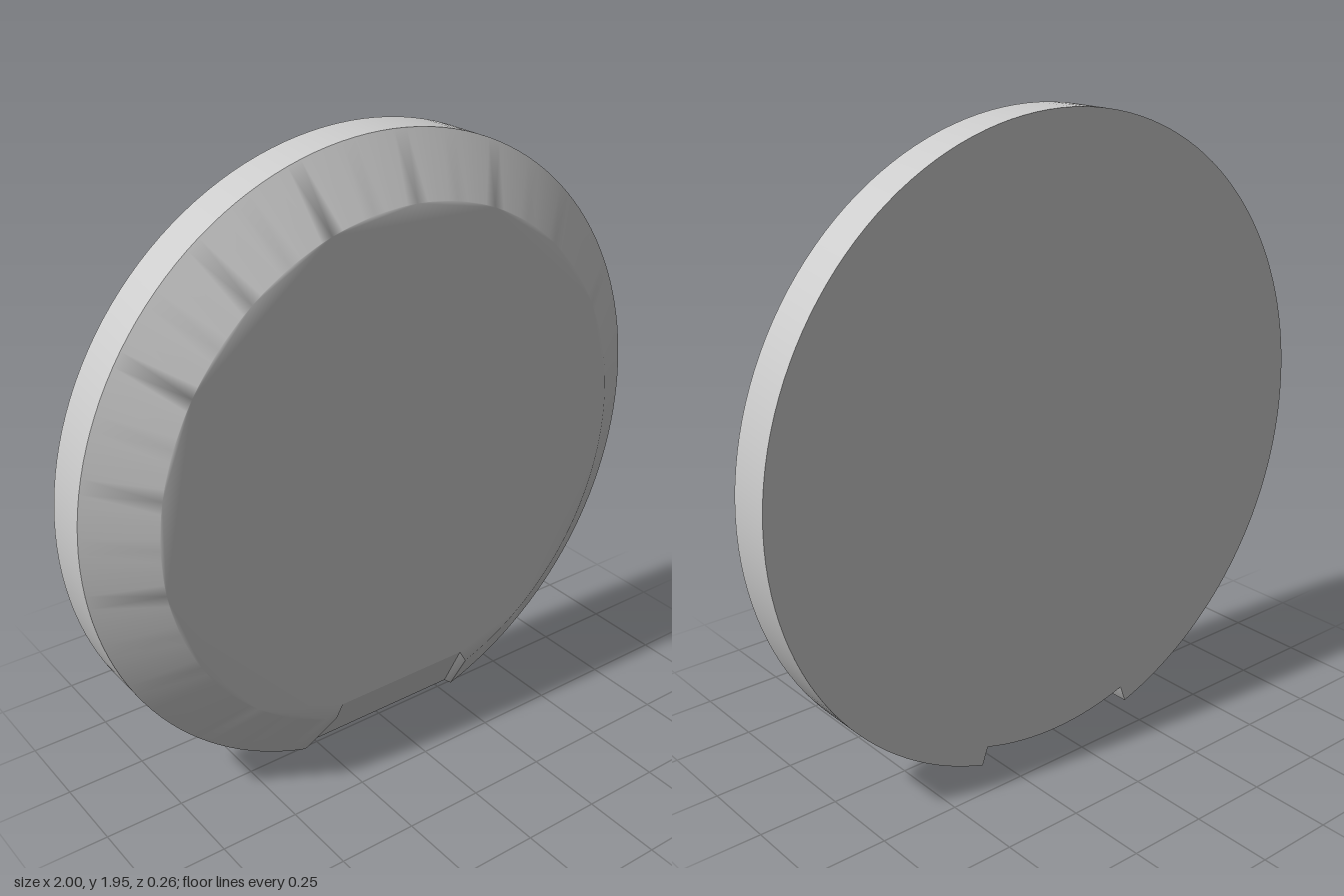
import * as THREE from 'three';

const CY = 0.955;              // height of the disc centre
const BACK = -0.13, RIM = 0.01, FRONT = 0.13;
const SEG = 128, NOTCH_SEG = 16;
const V = (x, y, z) => new THREE.Vector3(x, y, z);

// Points on a circle about the disc centre, angle measured from straight down
function arc(r, a, b, z, n) {
  return Array.from({ length: n + 1 }, (_, i) => {
    const t = a + (b - a) * i / n;
    return V(r * Math.sin(t), CY - r * Math.cos(t), z);
  });
}

// Main arc of the outline, leaving a gap of half-width x at the bottom
function openArc(r, x, z) {
  const a = Math.asin(x / r);
  return arc(r, a, 2 * Math.PI - a, z, SEG);
}

// Evenly spaced points from -x to x
function line(x, y, z) {
  return Array.from({ length: NOTCH_SEG + 1 }, (_, i) => V(-x + 2 * x * i / NOTCH_SEG, y, z));
}

// Triangles joining two rows of equal length
function stripIndex(n, a = 0, b = n) {
  const index = [];
  for (let i = 0; i < n - 1; i++) index.push(a + i, a + i + 1, b + i + 1, a + i, b + i + 1, b + i);
  return index;
}

function geometry(points, index) {
  const g = new THREE.BufferGeometry().setFromPoints(points);
  g.setIndex(index);
  g.computeVertexNormals();
  return g;
}

const strip = (a, b) => geometry([...a, ...b], stripIndex(a.length));
const capIndex = (loop) =>
  THREE.ShapeUtils.triangulateShape(loop.map((p) => new THREE.Vector2(p.x, p.y)), []).flat();

export function createModel() {
  const group = new THREE.Group();
  const material = new THREE.MeshStandardMaterial({ color: 0xcccccc });
  const add = (name, g) => {
    const mesh = new THREE.Mesh(g, material);
    mesh.name = name;
    group.add(mesh);
  };

  // Outline rows from back to front
  const back = openArc(1, 0.3, BACK);
  const rim = openArc(1, 0.3, RIM);
  const front = openArc(0.82, 0.26, FRONT);

  // Rows of the notch
  const half = Math.asin(0.28 / 0.94);
  const notchBack = arc(0.94, -half, half, BACK, NOTCH_SEG);
  const notchEdge = line(0.28, 0.015, 0);
  const notchTop = line(0.235, 0.22, FRONT);

  add('rimWall', strip(back, rim));

  // Front face and bevel share vertices, so the shading rolls over smoothly
  const face = [...front, ...notchTop];
  const n = front.length;
  add('domedFront', geometry([...face, ...rim],
    [...capIndex(face), ...stripIndex(n, face.length, 0)]));

  // Flat back
  const backLoop = [...back, ...notchBack];
  add('backFace', geometry(backLoop, capIndex(backLoop).reverse()));

  // Notch: sloping face, underside, and a stepped wall at each end
  add('notchFace', strip(notchEdge, notchTop));
  add('notchUnderside', strip(notchBack, notchEdge));

  const end = NOTCH_SEG;
  const leftRows = [[back[0], notchBack[end]], [rim[0], notchEdge[end]], [front[0], notchTop[end]]];
  const rightRows = [[back[SEG], notchBack[0]], [rim[SEG], notchEdge[0]], [front[SEG], notchTop[0]]];
  const walls = { left: leftRows.map(([outer, inner]) => [inner, outer]), right: rightRows };
  for (const [side, rows] of Object.entries(walls)) {
    add(side + 'NotchStep', strip(rows[0], rows[1]));
    add(side + 'NotchWall', strip(rows[1], rows[2]));
  }

  return group;
}
